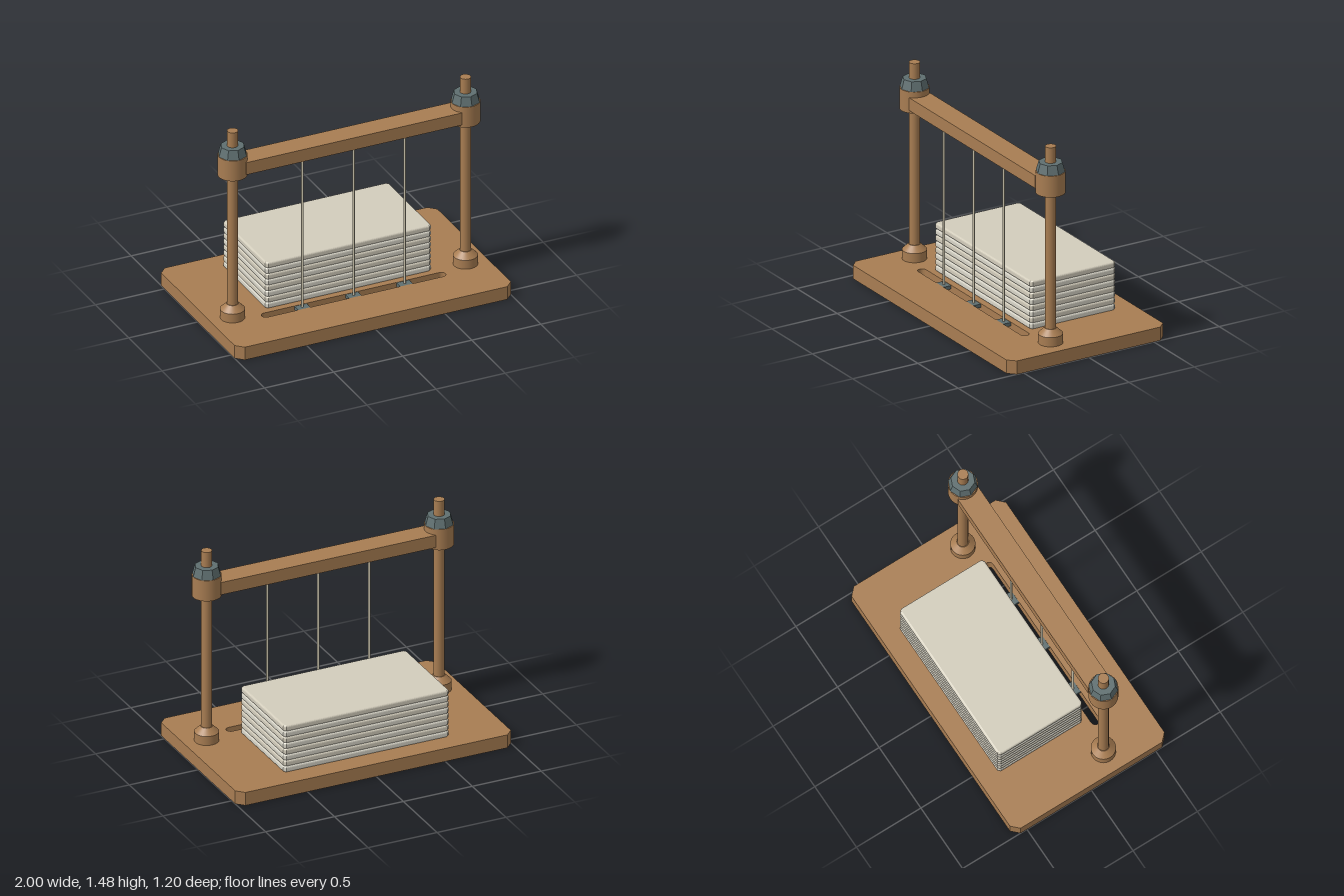
import * as THREE from 'three';

const wood = new THREE.MeshStandardMaterial({ color: 0xa87d52 });
const metal = new THREE.MeshStandardMaterial({ color: 0x5f6f70, flatShading: true });
const cordMat = new THREE.MeshStandardMaterial({ color: 0xcfc8b0 });
const pages = [0xd9d6c9, 0xd3cdbc].map((color) => new THREE.MeshStandardMaterial({ color }));

const BASE_H = 0.095;
const SLOT_Z = 0.265;

function add(parent, name, geometry, material, x = 0, y = 0, z = 0) {
  const mesh = new THREE.Mesh(geometry, material);
  mesh.name = name;
  mesh.position.set(x, y, z);
  parent.add(mesh);
  return mesh;
}

// Rectangle with cut corners, centred on (0, cy)
function cutRect(PathType, hw, hh, c, cy = 0) {
  return new PathType([
    [-hw + c, -hh], [hw - c, -hh], [hw, -hh + c], [hw, hh - c],
    [hw - c, hh], [-hw + c, hh], [-hw, hh - c], [-hw, -hh + c],
  ].map(([x, y]) => new THREE.Vector2(x, y + cy)));
}

// Extrude a plan shape upward (shape y becomes -z)
function slab(shape, options) {
  return new THREE.ExtrudeGeometry(shape, options).rotateX(-Math.PI / 2);
}

export function createModel() {
  const model = new THREE.Group();
  model.name = 'sewingFrame';

  // Base board with a long through slot
  const board = cutRect(THREE.Shape, 1, 0.6, 0.05);
  const slot = new THREE.Path();
  slot.absarc(0.635, -SLOT_Z, 0.03, -Math.PI / 2, Math.PI / 2, false);
  slot.absarc(-0.635, -SLOT_Z, 0.03, Math.PI / 2, Math.PI * 1.5, false);
  slot.closePath();
  board.holes.push(slot);
  add(model, 'baseBoard', slab(board, { depth: BASE_H, bevelEnabled: false, curveSegments: 6 }), wood);

  // Uprights with feet, collars and octagonal nuts
  for (const side of [-1, 1]) {
    const post = new THREE.Group();
    post.name = side > 0 ? 'leftPost' : 'rightPost';
    post.position.set(side * 0.843, 0, 0.195);
    model.add(post);
    const turn = (name, rTop, rBottom, y0, y1, sides, material) =>
      add(post, name, new THREE.CylinderGeometry(rTop, rBottom, y1 - y0, sides), material, 0, (y0 + y1) / 2, 0);
    turn('rod', 0.036, 0.036, 0.09, 1.48, 24, wood);
    turn('foot', 0.082, 0.082, BASE_H, 0.16, 32, wood);
    turn('footCone', 0.04, 0.082, 0.16, 0.2, 32, wood);
    turn('collar', 0.098, 0.098, 1.155, 1.305, 32, wood);
    turn('nut', 0.08, 0.098, 1.305, 1.37, 8, metal);
  }

  // Crossbar
  add(model, 'crossbar', new THREE.BoxGeometry(1.56, 0.09, 0.16), wood, 0, 1.22, 0.195);

  // Cords held by keys in the slot
  for (const x of [-0.37, 0, 0.37]) {
    add(model, 'cord', new THREE.CylinderGeometry(0.008, 0.008, 1.11, 10), cordMat, x, 0.635, 0.263);
    add(model, 'key', new THREE.BoxGeometry(0.09, 0.025, 0.06), metal, x, 0.08, SLOT_Z);
  }

  // Stack of folded sections with rounded edges
  const stack = new THREE.Group();
  stack.name = 'paperStack';
  model.add(stack);
  const count = 8, pitch = 0.34 / count, bevel = 0.012;
  const sheet = cutRect(THREE.Shape, 0.6 - bevel, 0.3275 - bevel, 0.01);
  const section = slab(sheet, {
    depth: pitch - 2 * bevel, bevelEnabled: true, bevelSize: bevel, bevelThickness: bevel, bevelSegments: 3,
  });
  for (let i = 0; i < count; i++) {
    add(stack, 'section', section, pages[i % 2], 0, BASE_H + i * pitch + bevel, -0.1325);
  }

  return model;
}
